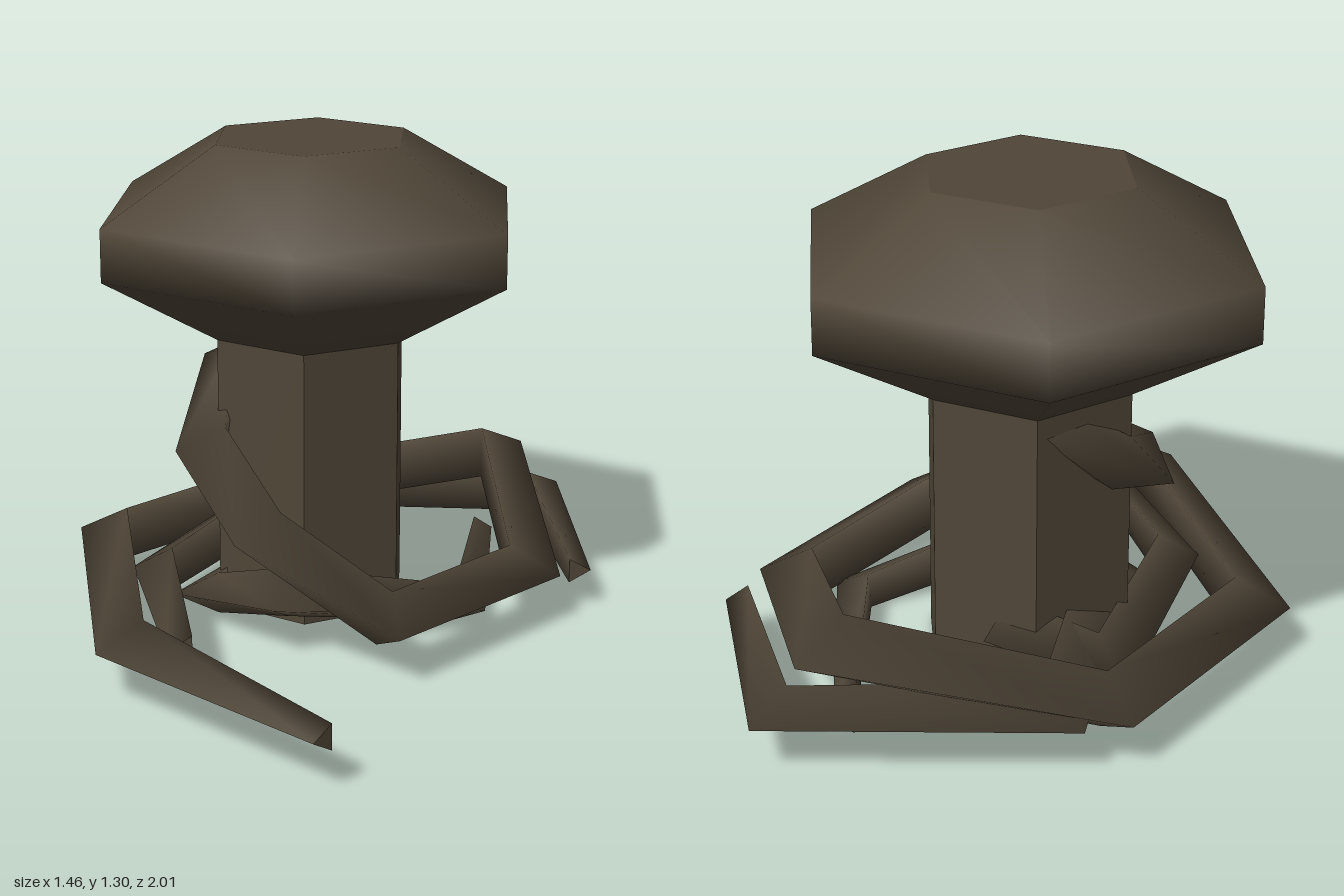
import * as THREE from 'three';

const bark = new THREE.MeshStandardMaterial({ color: 0x504638 });
bark.name = 'dark brown';

const CX = -0.055, CZ = -0.345; // axis of the trunk
const UP = new THREE.Vector3(0, 1, 0);

// Mitred three-sided tube: points are [x, y, z, radius], one ridge facing outwards
function tendrilGeometry(points) {
  const P = points.map(p => new THREE.Vector3(p[0], p[1], p[2]));
  const n = P.length;
  const rings = P.map((p, i) => {
    const a = P[i].clone().sub(P[Math.max(i - 1, 0)]).normalize();
    const b = P[Math.min(i + 1, n - 1)].clone().sub(P[i]).normalize();
    const t = a.clone().add(b).normalize();
    const mitre = i > 0 && i < n - 1 ? Math.min(1 / t.dot(a), 1.5) : 1;
    const side = t.clone().cross(UP).normalize();
    if (side.x * (p.x - CX) + side.z * (p.z - CZ) < 0) side.negate();
    const v = t.clone().cross(side);
    const r = points[i][3];
    return [0, 1, 2].map(k => {
      const ang = k * Math.PI * 2 / 3;
      return p.clone()
        .addScaledVector(side, Math.cos(ang) * r * mitre)
        .addScaledVector(v, Math.sin(ang) * r);
    });
  });
  const pos = [], index = [];
  const push = q => pos.push(q.x, q.y, q.z);
  rings.forEach(ring => ring.forEach(push));
  for (let i = 0; i < n - 1; i++) {
    for (let k = 0; k < 3; k++) {
      const a = i * 3 + k, b = i * 3 + (k + 1) % 3;
      index.push(a, b, b + 3, a, b + 3, a + 3);
    }
  }
  // flat ends with their own vertices
  const s = n * 3;
  rings[0].forEach(push);
  rings[n - 1].forEach(push);
  index.push(s, s + 2, s + 1, s + 3, s + 4, s + 5);
  const g = new THREE.BufferGeometry();
  g.setAttribute('position', new THREE.Float32BufferAttribute(pos, 3));
  g.setIndex(index);
  g.computeVertexNormals();
  return g;
}

export function createModel() {
  const model = new THREE.Group();
  model.name = 'mushroomWithTendrils';
  const add = (name, geometry, x = 0, y = 0, z = 0) => {
    const mesh = new THREE.Mesh(geometry, bark);
    mesh.name = name;
    mesh.position.set(x, y, z);
    model.add(mesh);
  };

  // Faceted six-sided trunk
  const trunk = new THREE.CylinderGeometry(0.283, 0.283, 0.77, 6).toNonIndexed();
  trunk.computeVertexNormals();
  add('trunk', trunk, CX, 0.385, CZ);

  // Smooth six-sided cap with a flat top
  const profile = [[0.283, 0.765], [0.615, 0.96], [0.615, 1.105], [0.283, 1.3]]
    .map(p => new THREE.Vector2(p[0], p[1]));
  add('cap', new THREE.LatheGeometry(profile, 6), CX, 0, CZ);
  const top = new THREE.CircleGeometry(0.283, 6, Math.PI / 2).rotateX(-Math.PI / 2);
  add('capTop', top, CX, 1.3, CZ);

  // Long tendril coiling down around the trunk
  add('longTendril', tendrilGeometry([
    [-0.06, 0.72, -0.54, 0.07],
    [-0.31, 0.6, -0.57, 0.08],
    [-0.32, 0.48, -0.12, 0.085],
    [-0.16, 0.32, 0.13, 0.087],
    [0.19, 0.135, 0.265, 0.087],
    [0.55, 0.13, -0.165, 0.087],
    [0.46, 0.27, -0.83, 0.087],
    [-0.22, 0.13, -0.905, 0.087],
    [-0.635, 0.13, -0.42, 0.087],
    [-0.465, 0.13, 0.455, 0.083],
    [0.07, 0.13, 0.965, 0.04],
  ]));

  // Shorter tendrils
  add('backTendril', tendrilGeometry([
    [-0.2, 0.16, -0.5, 0.08],
    [-0.08, 0.13, -0.93, 0.08],
    [0.59, 0.13, -0.885, 0.07],
    [0.69, 0.105, -0.25, 0.04],
  ]));
  add('lowTendril', tendrilGeometry([
    [-0.2, 0.07, -0.4, 0.06],
    [-0.34, 0.055, -0.14, 0.065],
    [-0.1, 0.135, 0.09, 0.08],
    [0.38, 0.05, -0.11, 0.06],
    [0.42, 0.04, -0.78, 0.035],
  ]));
  add('sideTendril', tendrilGeometry([
    [0.03, 0.16, -0.55, 0.08],
    [-0.22, 0.13, -0.72, 0.08],
    [-0.46, 0.13, -0.13, 0.07],
    [-0.325, 0.125, 0.445, 0.045],
  ]));

  return model;
}
